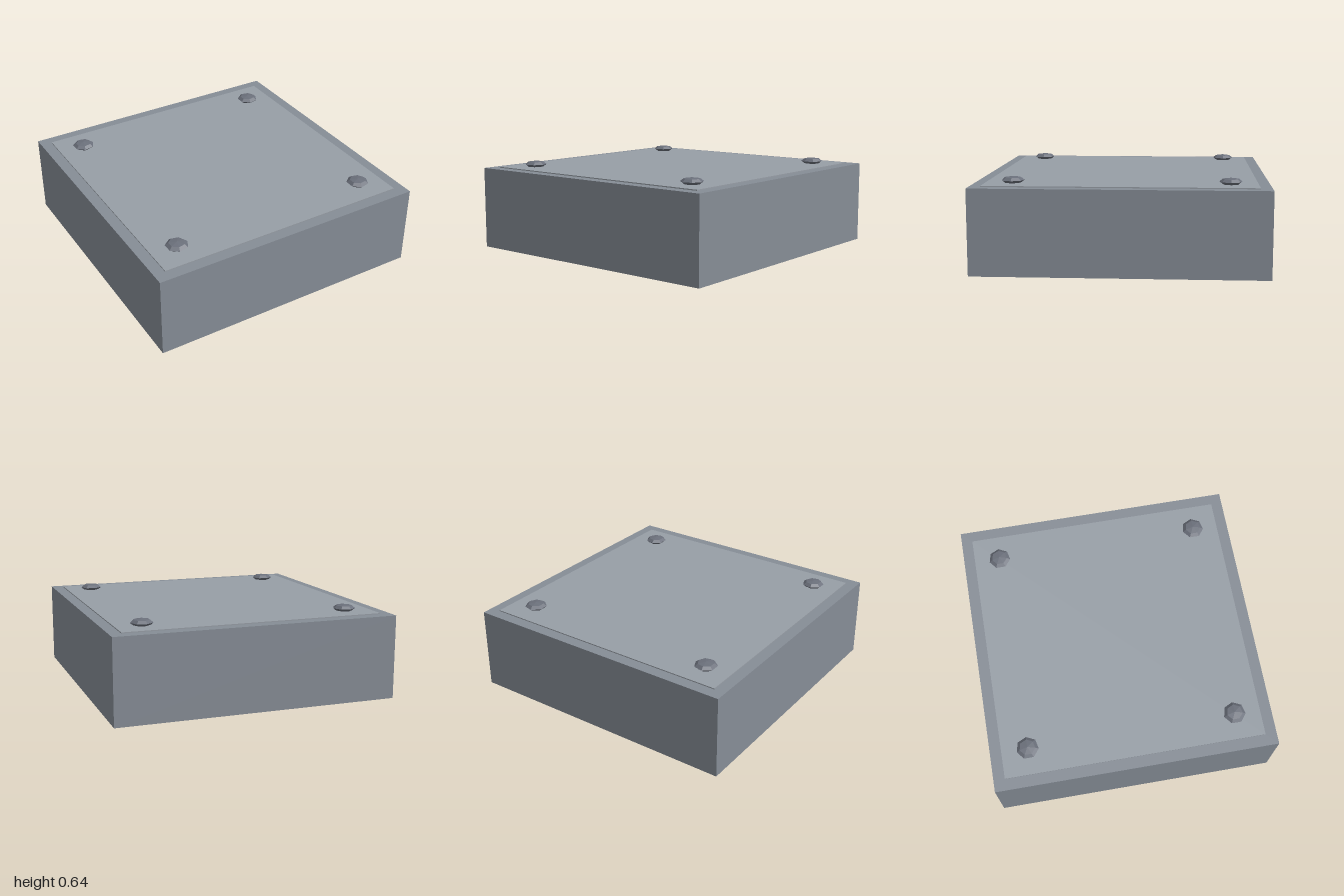
import * as THREE from 'three';

export function createModel() {
  const model = new THREE.Group();
  const bodyMat = new THREE.MeshStandardMaterial({ color: 0x868d96 });
  const plateMat = new THREE.MeshStandardMaterial({ color: 0x979ea6 });
  const boltMat = new THREE.MeshStandardMaterial({ color: 0x6b707b, flatShading: true });

  const add = (name, geometry, material, x, y, z) => {
    const mesh = new THREE.Mesh(geometry, material);
    mesh.name = name;
    mesh.position.set(x, y, z);
    model.add(mesh);
  };

  // Solid square slab
  add('slab', new THREE.BoxGeometry(2, 0.588, 2), bodyMat, 0, 0.294, 0);

  // Thin plate, raised slightly above the slab
  add('topPlate', new THREE.BoxGeometry(1.84, 0.02, 1.84), plateMat, 0, 0.585, 0);

  // Flattened seven-sided bolt heads near the corners, one point facing +x
  const boltGeometry = new THREE.SphereGeometry(0.079, 7, 4);
  boltGeometry.rotateY(Math.PI);
  boltGeometry.scale(1, 0.33, 1);
  for (const x of [-0.735, 0.735]) {
    for (const z of [-0.735, 0.735]) add('boltHead', boltGeometry, boltMat, x, 0.612, z);
  }

  return model;
}
